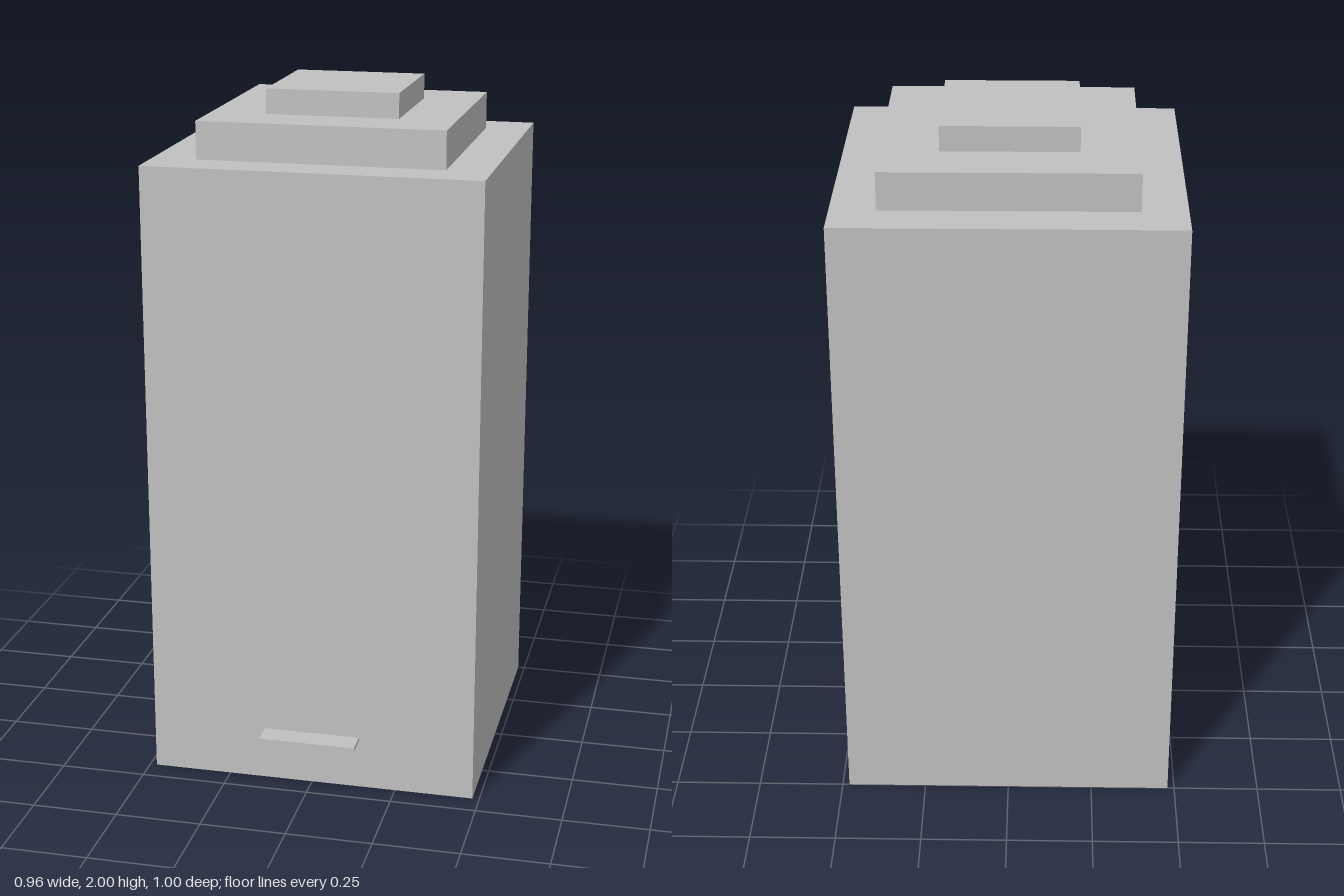
import * as THREE from 'three';

// Box given by its limits; open boxes have no bottom face
function block(name, [x0, x1], [y0, y1], [z0, z1], material, open = true) {
  const geometry = new THREE.BoxGeometry(x1 - x0, y1 - y0, z1 - z0);
  if (open) {
    const index = Array.from(geometry.index.array);
    index.splice(18, 6); // the downward face
    geometry.setIndex(index);
    geometry.clearGroups();
  }
  geometry.translate((x0 + x1) / 2, (y0 + y1) / 2, (z0 + z1) / 2);
  const mesh = new THREE.Mesh(geometry, material);
  mesh.name = name;
  return mesh;
}

export function createModel() {
  const model = new THREE.Group();
  model.name = 'towerBlock';
  const concrete = new THREE.MeshStandardMaterial({ color: 0xc0c0c0, side: THREE.DoubleSide });
  concrete.name = 'concrete grey';

  model.add(
    // Hollow shaft, open at the ground
    block('tower', [-0.48, 0.48], [0, 1.82], [-0.5, 0.43], concrete),
    // Stepped roof
    block('lowerRoofTier', [-0.353, 0.353], [1.82, 1.928], [-0.378, 0.306], concrete),
    block('upperRoofTier', [-0.191, 0.191], [1.928, 2], [-0.222, 0.152], concrete),
    // Thin slab above the entrance
    block('entranceCanopy', [-0.142, 0.142], [0.147, 0.158], [0.43, 0.5], concrete, false),
  );
  return model;
}
